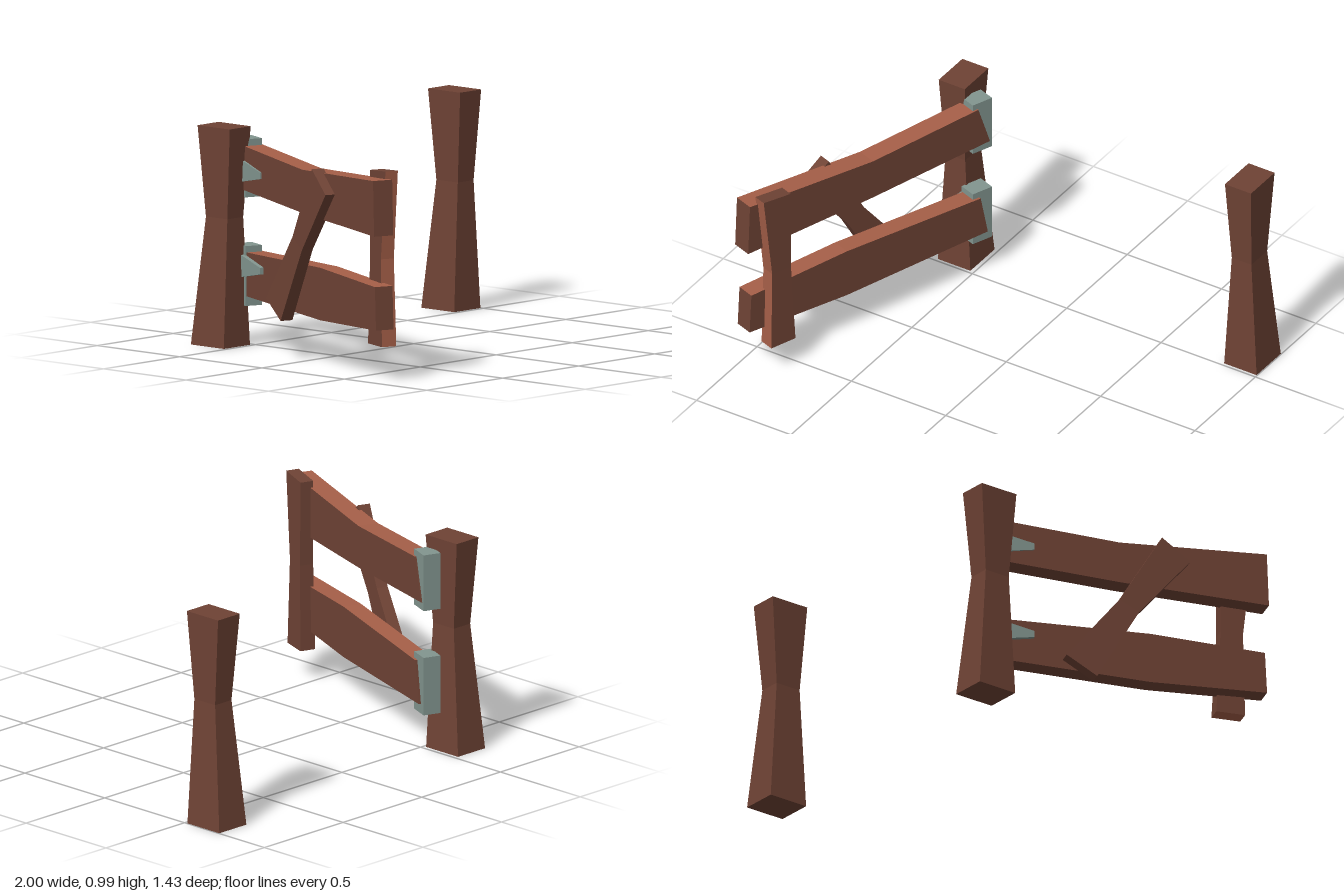
import * as THREE from 'three';

const wood = new THREE.MeshStandardMaterial({ color: 0x6f4335 });
wood.name = 'brown wood';
const paleWood = new THREE.MeshStandardMaterial({ color: 0xa65f48 });
paleWood.name = 'pale wood edge';
const metal = new THREE.MeshStandardMaterial({ color: 0x82958f });
metal.name = 'grey metal';

// Four-sided beam lofted through rows [ax, ay, bx, by, z0, z1].
// Edge A lies to the left of the direction of travel, edge B to the right.
// Faces: 0 edge A, 1 front, 2 edge B, 3 back, 4 start, 5 end.
function beam(name, rows, base, accent, accentFaces = []) {
  const rings = rows.map(([ax, ay, bx, by, z0, z1]) => [
    [ax, ay, z0], [ax, ay, z1], [bx, by, z1], [bx, by, z0],
  ]);
  const pos = [];
  const geo = new THREE.BufferGeometry();
  const quad = (a, b, c, d, face) => {
    geo.addGroup(pos.length / 3, 6, accentFaces.includes(face) ? 1 : 0);
    pos.push(...a, ...b, ...c, ...a, ...c, ...d);
  };
  for (let i = 0; i < rings.length - 1; i++) {
    const p = rings[i], q = rings[i + 1];
    for (let k = 0; k < 4; k++) {
      const n = (k + 1) % 4;
      quad(p[k], p[n], q[n], q[k], k);
    }
  }
  const s = rings[0], e = rings[rings.length - 1];
  quad(s[3], s[2], s[1], s[0], 4);
  quad(e[0], e[1], e[2], e[3], 5);
  geo.setAttribute('position', new THREE.Float32BufferAttribute(pos, 3));
  geo.computeVertexNormals();
  const mesh = new THREE.Mesh(geo, accent ? [base, accent] : base);
  mesh.name = name;
  return mesh;
}

export function createModel() {
  const model = new THREE.Group();
  model.name = 'openGate';

  // Two waisted posts
  for (const [name, x] of [['hingePost', -0.606], ['latchPost', 0.911]]) {
    const post = beam(name, [
      [-0.086, 0, 0.086, 0, -0.715, -0.515],
      [-0.052, 0.58, 0.052, 0.58, -0.655, -0.525],
      [-0.069, 0.99, 0.069, 0.99, -0.69, -0.495],
    ], wood);
    post.position.x = x;
    model.add(post);
  }

  // Gate leaf: local x runs from the free end to the hinges
  const gate = new THREE.Group();
  gate.name = 'gateLeaf';
  gate.position.set(-0.955, 0, 0.697);
  gate.rotation.y = 1.22;
  model.add(gate);

  // Rails with pale upper edges
  gate.add(beam('topRail', [
    [0.01, 0.91, 0, 0.66, -0.048, 0.048],
    [0.7, 0.87, 0.7, 0.675, -0.048, 0.048],
    [1.29, 0.903, 1.355, 0.707, -0.048, 0.048],
  ], wood, paleWood, [0]));
  gate.add(beam('bottomRail', [
    [0.015, 0.43, 0.005, 0.235, -0.036, 0.052],
    [0.55, 0.447, 0.55, 0.21, -0.036, 0.052],
    [1.3, 0.42, 1.34, 0.225, -0.036, 0.052],
  ], wood, paleWood, [0]));

  // Upright board on the front, near the free end
  gate.add(beam('uprightBoard', [
    [0.085, 0.145, 0.22, 0.145, 0.035, 0.107],
    [0.095, 0.54, 0.2, 0.54, 0.035, 0.1],
    [0.05, 0.942, 0.2, 0.93, 0.035, 0.097],
  ], wood, paleWood, [0, 4]));

  // Diagonal brace on the back
  gate.add(beam('diagonalBrace', [
    [0.516, 0.9, 0.383, 0.8, -0.095, -0.036],
    [0.713, 0.57, 0.622, 0.52, -0.09, -0.036],
    [0.963, 0.26, 0.82, 0.175, -0.095, -0.036],
  ], wood));

  // Hinge blocks with tapered straps on the back of each rail
  for (const [name, y0, y1, strapY] of [
    ['topHinge', 0.67, 0.932, 0.79], ['bottomHinge', 0.18, 0.45, 0.36],
  ]) {
    const hinge = new THREE.Group();
    hinge.name = name;
    hinge.add(beam('hingeBlock', [
      [1.265, y1, 1.265, y0, -0.043, 0.04],
      [1.37, y1, 1.37, y0, -0.04, 0.043],
    ], metal));
    hinge.add(beam('hingeStrap', [
      [1.1, strapY + 0.015, 1.1, strapY - 0.015, -0.054, -0.03],
      [1.28, strapY + 0.05, 1.28, strapY - 0.05, -0.058, -0.03],
    ], metal));
    gate.add(hinge);
  }

  return model;
}
